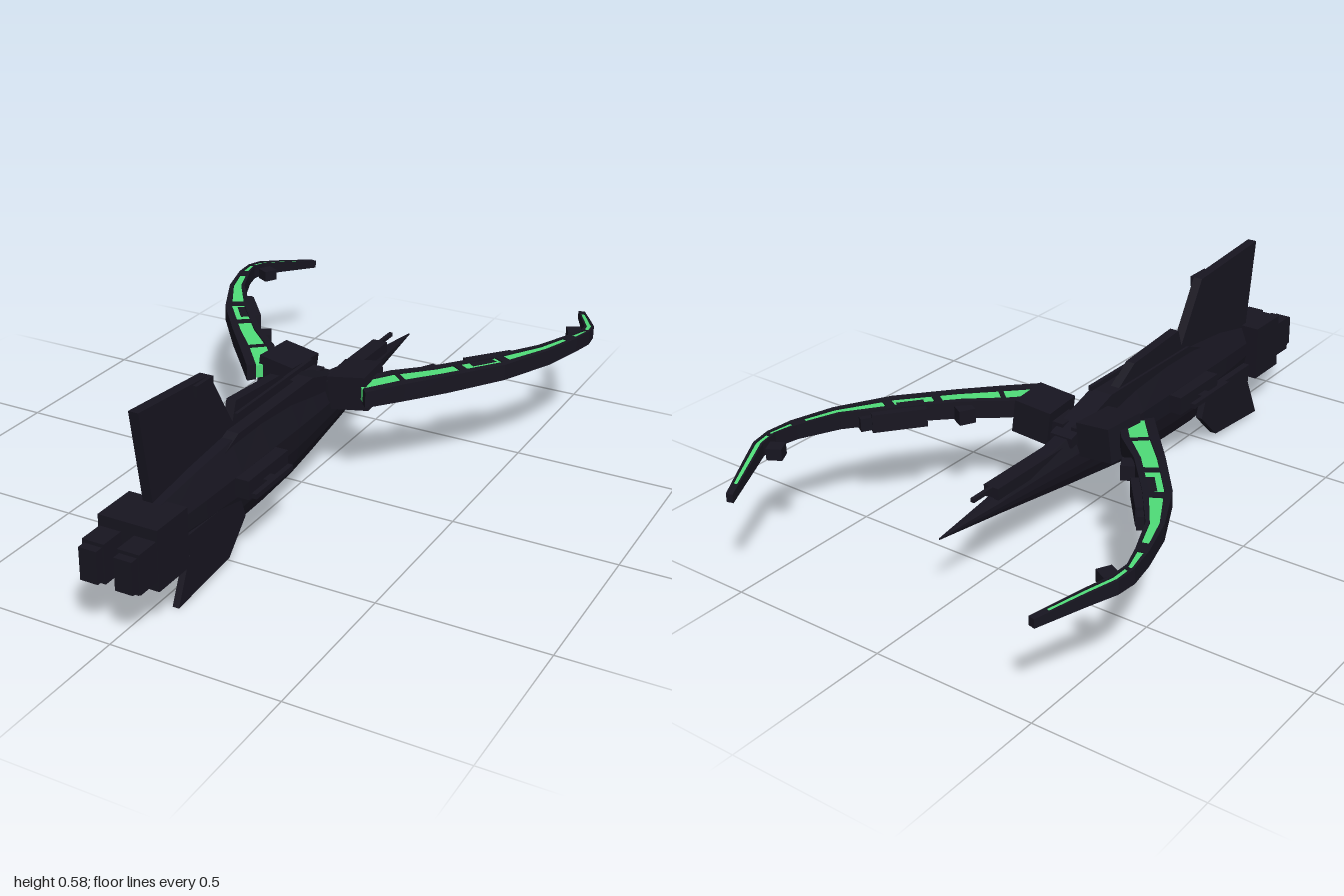
import * as THREE from 'three';

const dark = new THREE.MeshStandardMaterial({ color: 0x171520, flatShading: true });
const green = new THREE.MeshStandardMaterial({ color: 0x4fdc78, flatShading: true });

// Skin a series of equal-length rings and cap both ends.
function loft(rings) {
  const n = rings[0].length, pos = [];
  const tri = (...p) => p.forEach(v => pos.push(...v));
  for (let k = 0; k < rings.length - 1; k++) {
    const a = rings[k], b = rings[k + 1];
    for (let i = 0; i < n; i++) {
      const j = (i + 1) % n;
      tri(a[i], b[i], b[j]);
      tri(a[i], b[j], a[j]);
    }
  }
  const first = rings[0], last = rings[rings.length - 1];
  for (let i = 1; i < n - 1; i++) {
    tri(first[0], first[i], first[i + 1]);
    tri(last[0], last[i + 1], last[i]);
  }
  const g = new THREE.BufferGeometry();
  g.setAttribute('position', new THREE.Float32BufferAttribute(pos, 3));
  g.computeVertexNormals();
  return g;
}

// Arm stations: outer x, z, inner x, z, centre height, thickness.
const ARM = [
  [0.20, -0.02, 0.13, -0.10, 0.318, 0.050],
  [0.28, -0.115, 0.20, -0.185, 0.322, 0.055],
  [0.37, -0.22, 0.30, -0.27, 0.326, 0.055],
  [0.49, -0.37, 0.42, -0.41, 0.333, 0.050],
  [0.57, -0.53, 0.525, -0.55, 0.338, 0.050],
  [0.61, -0.66, 0.575, -0.67, 0.340, 0.045],
  [0.622, -0.74, 0.595, -0.735, 0.336, 0.045],
  [0.615, -0.80, 0.588, -0.79, 0.332, 0.040],
  [0.58, -0.87, 0.555, -0.86, 0.322, 0.035],
  [0.515, -1.0, 0.495, -0.995, 0.300, 0.026],
];

function station(u) {
  const k = Math.min(Math.floor(u), ARM.length - 2);
  return ARM[k].map((v, i) => THREE.MathUtils.lerp(v, ARM[k + 1][i], u - k));
}

// A strip running along the arm from u0 to u1, between widths t0 (outer) and t1 (inner).
function armStrip(side, u0, u1, t0, t1, heightScale) {
  const us = [u0];
  for (let u = Math.floor(u0) + 1; u < u1; u++) us.push(u);
  us.push(u1);
  return loft(us.map(u => {
    const [ox, oz, ix, iz, y, h] = station(u);
    const at = (t, e) => [side * (ox + (ix - ox) * t), y + e * h * heightScale / 2, oz + (iz - oz) * t];
    const ring = [at(t0, -1), at(t0, 1), at(t1, 1), at(t1, -1)];
    return side > 0 ? ring : ring.reverse();
  }));
}

export function createModel() {
  const model = new THREE.Group();
  const add = (name, geo, mat = dark, parent = model) => {
    const m = new THREE.Mesh(geo, mat);
    m.name = name;
    parent.add(m);
    return m;
  };
  // Box given by its extents
  const block = (name, x0, x1, y0, y1, z0, z1, parent) => {
    const m = add(name, new THREE.BoxGeometry(x1 - x0, y1 - y0, z1 - z0), dark, parent);
    m.position.set((x0 + x1) / 2, (y0 + y1) / 2, (z0 + z1) / 2);
    return m;
  };
  // Upright plate outlined by [z, y] points
  const plate = (name, x0, x1, pts) => {
    const g = new THREE.ExtrudeGeometry(
      new THREE.Shape(pts.map(p => new THREE.Vector2(...p))), { depth: x1 - x0, bevelEnabled: false });
    g.rotateY(-Math.PI / 2).translate(x1, 0, 0);
    return add(name, g);
  };

  // Tapering faceted hull: z, bottom, top, half width
  const hull = [
    [0.80, 0.14, 0.31, 0.048], [0.62, 0.115, 0.335, 0.060], [0.45, 0.095, 0.352, 0.066],
    [0.30, 0.098, 0.352, 0.067], [0.13, 0.106, 0.342, 0.064], [0.0, 0.122, 0.325, 0.057],
    [-0.20, 0.148, 0.295, 0.042], [-0.50, 0.19, 0.25, 0.020], [-0.74, 0.22, 0.225, 0.001],
  ];
  add('hull', loft(hull.map(([z, b, t, w]) => {
    const y = f => b + (t - b) * f;
    const half = [[0.55, 0], [0.85, 0.2], [1, 0.4], [1, 0.65], [0.5, 1]];
    const right = half.map(([x, f]) => [x * w, y(f), z]);
    return [...right, ...right.map(([x, yy]) => [-x, yy, z]).reverse()];
  })));

  // Spine and nose lance
  block('noseSpine', -0.025, 0.025, 0.245, 0.28, -0.52, -0.05);
  block('noseLance', -0.006, 0.006, 0.268, 0.28, -0.6, -0.1);
  plate('backSpine', -0.038, 0.038, [[0.5, 0.33], [0.42, 0.362], [0.0, 0.362], [-0.2, 0.3], [-0.2, 0.27], [0.0, 0.3]]);

  // Dorsal housing with its gun
  plate('dorsalHousing', -0.03, 0.0, [[0.40, 0.345], [0.37, 0.432], [0.13, 0.412], [0.03, 0.35]]);
  block('dorsalGun', -0.002, 0.01, 0.384, 0.398, -0.05, 0.38);

  // Tail fins
  plate('tailFin', -0.03, 0.0, [[0.78, 0.28], [0.83, 0.585], [0.5, 0.56], [0.38, 0.36], [0.38, 0.28]]);
  block('tailFinLight', -0.001, 0.012, 0.527, 0.56, 0.5, 0.58);
  for (const [x0, x1] of [[-0.087, -0.065], [0.042, 0.062]]) {
    plate('ventralFin', x0, x1, [[0.72, 0.2], [0.715, 0.14], [0.775, 0.008], [0.52, 0.03], [0.43, 0.12], [0.46, 0.2]]);
  }

  // Engine block and nozzles
  block('engineBlock', -0.09, 0.09, 0.135, 0.312, 0.76, 0.9);
  for (const s of [-1, 1]) {
    const cx = s * 0.053;
    block('engineNozzle', cx - 0.033, cx + 0.033, 0.165, 0.28, 0.9, 0.975);
    block('engineExhaust', cx - 0.027, cx + 0.027, 0.175, 0.27, 0.97, 1.0);

    // Side pods and rails
    block('sidePod', Math.min(0, s * 0.107), Math.max(0, s * 0.107), 0.205, 0.262, 0.27, 0.485);
    block('sideRail', s * 0.132 - 0.008, s * 0.132 + 0.008, 0.223, 0.238, 0.3, 0.5);
    block('railMount', s * 0.115 - 0.015, s * 0.115 + 0.015, 0.226, 0.235, 0.37, 0.41);

    // Curved arm
    const arm = new THREE.Group();
    arm.name = s > 0 ? 'leftArm' : 'rightArm';
    model.add(arm);
    const shoulder = block('shoulder', -0.06, 0.06, -0.052, 0.052, -0.07, 0.07, arm);
    shoulder.position.set(s * 0.118, 0.308, -0.125);
    shoulder.rotation.set(0, s * 0.09, s * 0.13);
    block('shoulderLink', s * 0.05 - 0.035, s * 0.05 + 0.035, 0.255, 0.32, -0.17, -0.08, arm);
    add('outerRail', armStrip(s, 0, 9, 0, 0.27, 1), dark, arm);
    add('innerRail', armStrip(s, 0, 9, 0.78, 1, 1), dark, arm);
    add('glowPanel', armStrip(s, 0, 8.8, 0.27, 0.78, 0.8), green, arm);
    for (const [u0, u1] of [[1.02, 1.12], [2.3, 2.42], [3.05, 3.2], [4.75, 5.1], [6.1, 6.25], [8.7, 9]]) {
      add('crossBar', armStrip(s, u0, u1, 0.1, 0.9, 0.96), dark, arm);
    }

    // Equipment on the inner edge: x, z, width, height, length, y, yaw
    for (const [name, x, z, w, h, l, y, yaw] of [
      ['armPod', 0.43, -0.41, 0.065, 0.056, 0.16, 0.325, -0.68],
      ['armPodTip', 0.477, -0.482, 0.04, 0.04, 0.06, 0.325, -0.55],
      ['innerEmitter', 0.29, -0.278, 0.045, 0.045, 0.05, 0.318, -0.5],
      ['outerEmitter', 0.562, -0.768, 0.045, 0.035, 0.045, 0.325, 0.5],
    ]) {
      const m = add(name, new THREE.BoxGeometry(w, h, l), dark, arm);
      m.position.set(s * x, y, z);
      m.rotation.y = s * yaw;
    }
  }
  return model;
}
